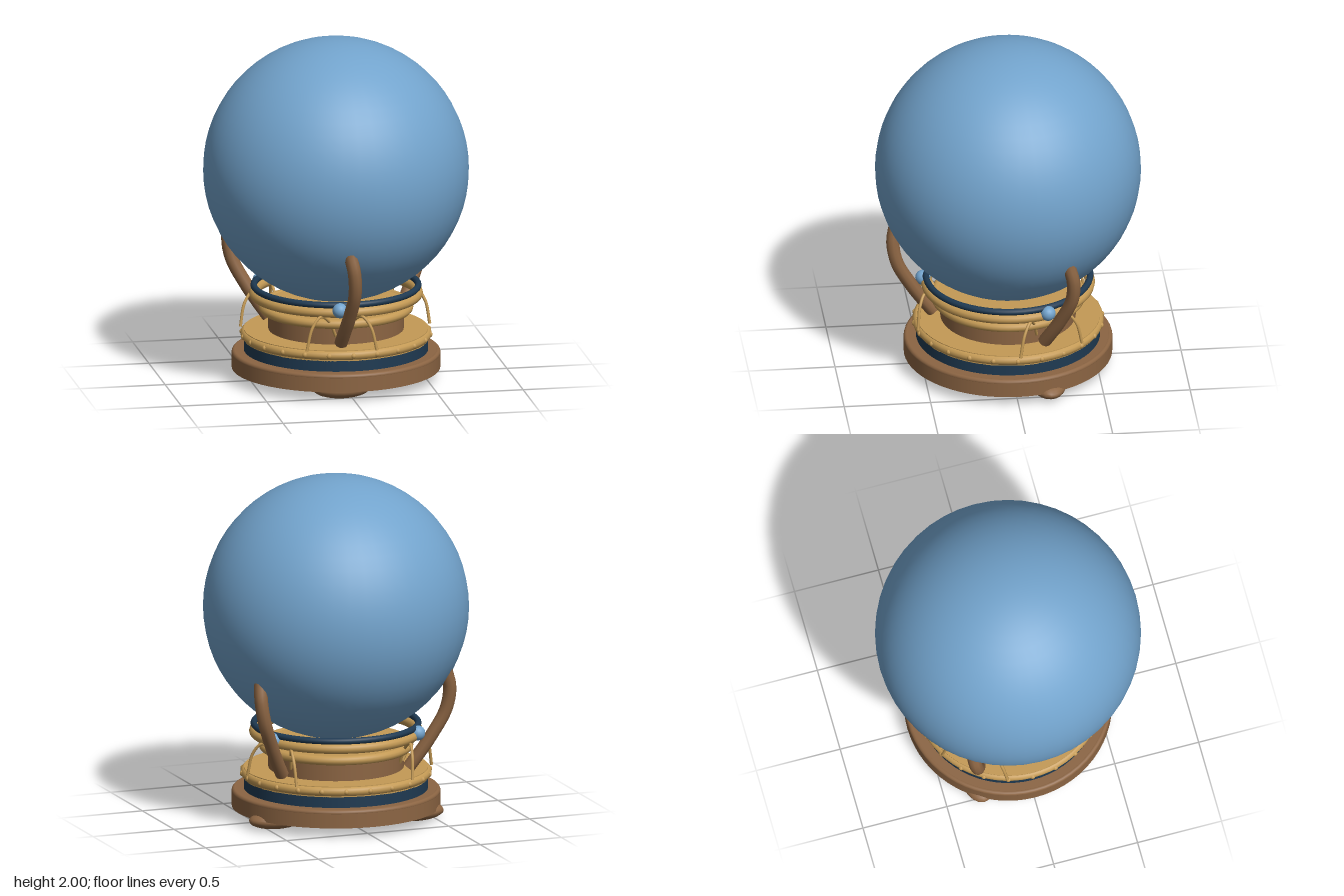
import * as THREE from 'three';

const mat = (name, color) => Object.assign(new THREE.MeshStandardMaterial({ color }), { name });

export function createModel() {
  const root = new THREE.Group();
  root.name = 'crystalBall';
  const glass = mat('blue glass', 0x72a3cc);
  const wood = mat('brown wood', 0x8c6543);
  const gold = mat('warm gold', 0xc49a55);
  const navy = mat('dark navy', 0x1f3a52);

  const add = (parent, name, geo, material, x = 0, y = 0, z = 0) => {
    const m = new THREE.Mesh(geo, material);
    m.name = name;
    m.position.set(x, y, z);
    parent.add(m);
    return m;
  };
  const disc = (name, r, y0, y1, material) =>
    add(root, name, new THREE.CylinderGeometry(r, r, y1 - y0, 64), material, 0, (y0 + y1) / 2);
  const ring = (name, R, r, y, material) =>
    add(root, name, new THREE.TorusGeometry(R, r, 12, 64).rotateX(Math.PI / 2), material, 0, y);
  // Point from azimuth in degrees (0 = front), radius and height
  const polar = (deg, r, y) => {
    const a = THREE.MathUtils.degToRad(deg);
    return new THREE.Vector3(Math.sin(a) * r, y, Math.cos(a) * r);
  };

  // Globe
  add(root, 'globe', new THREE.SphereGeometry(0.765, 48, 32), glass, 0, 1.235);

  // Stepped base
  disc('baseDisc', 0.6, 0.06, 0.15, wood);
  ring('baseRim', 0.583, 0.018, 0.148, wood);
  disc('baseTop', 0.583, 0.14, 0.165, wood);
  disc('navyBand', 0.53, 0.16, 0.228, navy);
  disc('goldPlate', 0.53, 0.226, 0.29, gold);
  ring('goldPlateRim', 0.522, 0.028, 0.26, gold);
  disc('drum', 0.39, 0.29, 0.42, wood);
  disc('drumCap', 0.415, 0.4, 0.44, gold);
  ring('drumRing', 0.417, 0.028, 0.418, gold);

  // Cradle rings
  ring('cradleRing', 0.47, 0.03, 0.5, gold);
  ring('cradleTrim', 0.473, 0.019, 0.545, navy);

  // Beads around the gold plate
  const beadGeo = new THREE.SphereGeometry(0.017, 10, 8);
  for (let i = 0; i < 24; i++) {
    const p = polar(i * 15, 0.54, 0.26);
    add(root, 'bead', beadGeo, gold, p.x, p.y, p.z);
  }

  // Curved arm, leaning sideways as it rises
  const armCurve = new THREE.CatmullRomCurve3([
    [-0.053, 0.31, 0.43], [-0.04, 0.4, 0.495], [-0.025, 0.5, 0.56],
    [-0.01, 0.65, 0.64], [-0.018, 0.78, 0.664], [-0.04, 0.888, 0.645],
  ].map((p) => new THREE.Vector3(...p)));
  const armGeo = new THREE.TubeGeometry(armCurve, 28, 0.039, 10);
  const capGeo = new THREE.CircleGeometry(0.039, 10);

  // Wire arch beside each arm, one for each side
  const archGeo = (s) => new THREE.TubeGeometry(new THREE.CatmullRomCurve3([
    polar(-7 + s * 4, 0.39, 0.34), polar(-7 + s * 8.5, 0.43, 0.43),
    polar(-7 + s * 14, 0.49, 0.478), polar(-7 + s * 18.5, 0.53, 0.42),
    polar(-7 + s * 21.5, 0.552, 0.285),
  ]), 28, 0.009, 8);
  const arches = [archGeo(-1), archGeo(1)];
  const footGeo = new THREE.SphereGeometry(1, 20, 14).scale(0.165, 0.053, 0.1);

  for (let i = 0; i < 3; i++) {
    const turn = i * 120;
    const support = new THREE.Group();
    support.name = 'support';
    support.rotation.y = THREE.MathUtils.degToRad(turn);
    root.add(support);

    add(support, 'arm', armGeo, wood);
    for (const t of [0, 1]) {
      const p = armCurve.getPoint(t);
      const dir = armCurve.getTangent(t).multiplyScalar(t ? 1 : -1);
      const cap = add(support, 'armEnd', capGeo, wood, p.x, p.y, p.z);
      cap.quaternion.setFromUnitVectors(new THREE.Vector3(0, 0, 1), dir);
    }
    for (const g of arches) add(support, 'wireArch', g, gold);
    const gem = polar(-8, 0.49, 0.517);
    add(support, 'gem', new THREE.SphereGeometry(0.044, 20, 14), glass, gem.x, gem.y, gem.z);

    // Flattened feet all share the same orientation
    const f = polar(-7 + turn, 0.48, 0.053);
    add(root, 'foot', footGeo, wood, f.x, f.y, f.z);
  }
  return root;
}
